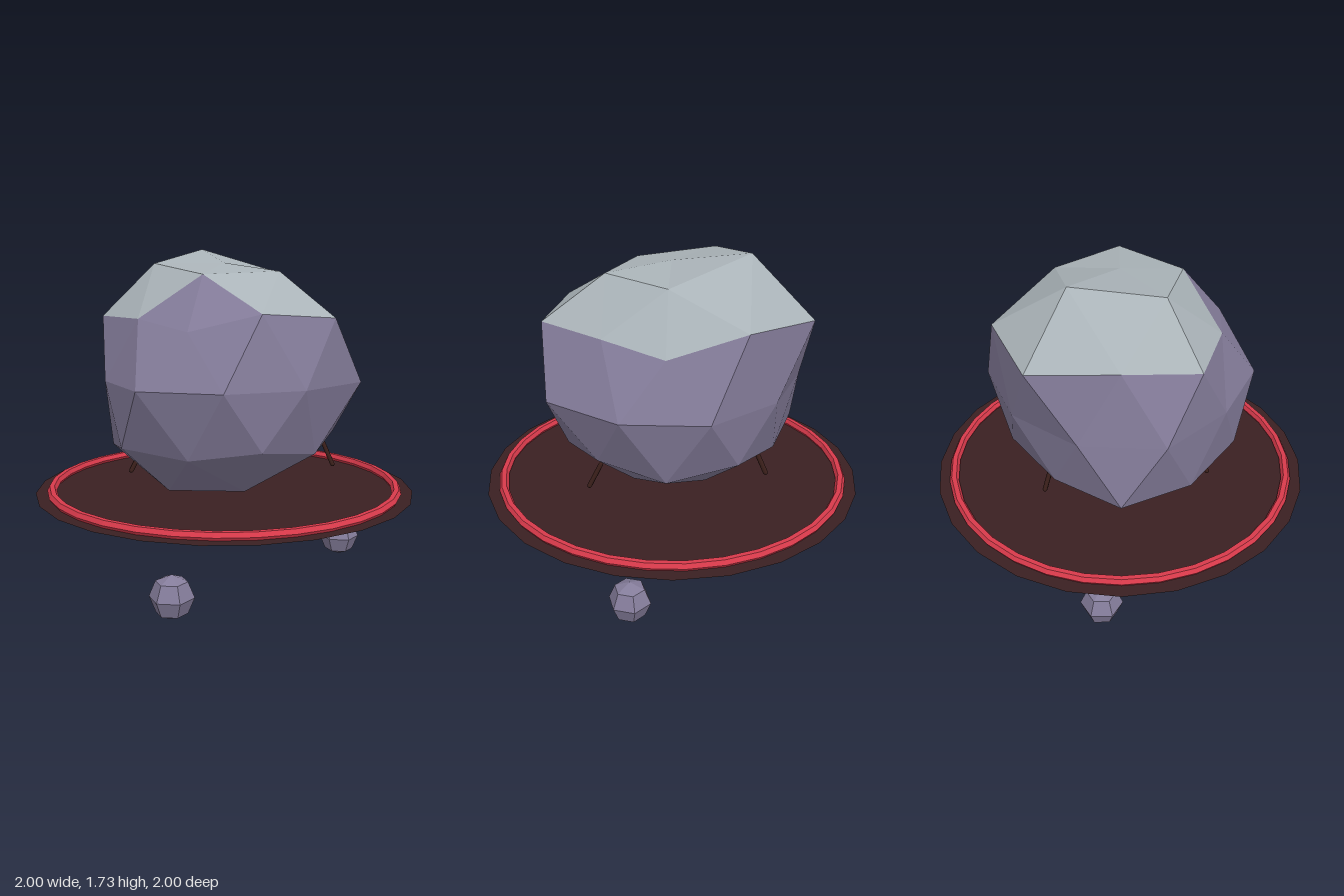
import * as THREE from 'three';

const mat = (name, color, extra = {}) => {
  const m = new THREE.MeshStandardMaterial({ color, ...extra });
  m.name = name;
  return m;
};

// Point on the boulder: unit direction (height h, azimuth in degrees) times radius
const CENTER_Y = 1.08;
const dir = (h, deg, r) => {
  const a = THREE.MathUtils.degToRad(deg), w = Math.sqrt(1 - h * h);
  return new THREE.Vector3(w * Math.cos(a) * r, h * r, w * Math.sin(a) * r);
};

// Flat-shaded mesh from triangles, each turned to face away from the origin
function facetMesh(name, tris, material) {
  const pos = [];
  for (const [a, b, c] of tris) {
    const n = b.clone().sub(a).cross(c.clone().sub(a));
    const order = n.dot(a.clone().add(b).add(c)) > 0 ? [a, b, c] : [a, c, b];
    order.forEach((p) => pos.push(p.x, p.y, p.z));
  }
  const g = new THREE.BufferGeometry();
  g.setAttribute('position', new THREE.Float32BufferAttribute(pos, 3));
  g.computeVertexNormals();
  const mesh = new THREE.Mesh(g, material);
  mesh.name = name;
  return mesh;
}

// Boulder: a once-divided icosahedron whose rings have uneven radii
function makeBoulder(stone, pale) {
  const equator = [0.66, 0.66, 0.70, 0.635, 0.69, 0.66, 0.65, 0.685, 0.69, 0.725]
    .map((r, k) => dir(0, 18 + 36 * k, r));
  const halves = [
    { sign: 1, pole: 0.59, ring: [0.646, 0.63, 0.69, 0.78, 0.64],
      corner: [0.74, 0.61, 0.71, 0.82, 0.627], mid: [0.68, 0.61, 0.70, 0.755, 0.62] },
    { sign: -1, pole: 0.58, ring: [0.64, 0.67, 0.67, 0.60, 0.60],
      corner: [0.66, 0.70, 0.76, 0.66, 0.65], mid: [0.65, 0.70, 0.66, 0.67, 0.66] },
  ];
  const body = [], cap = [];
  halves.forEach(({ sign, pole, ring, corner, mid }, s) => {
    const off = 36 * s;
    const P = new THREE.Vector3(0, sign * pole, 0);
    const R = ring.map((r, i) => dir(sign * 0.851, off + 72 * i, r));
    const V = corner.map((r, i) => dir(sign * 0.447, off + 72 * i, r));
    const M = mid.map((r, i) => dir(sign * 0.526, off + 72 * i + 36, r));
    const E = (k) => equator[(k + 10) % 10];
    for (let i = 0; i < 5; i++) {
      const j = (i + 1) % 5, h = (i + 4) % 5, k = 2 * i + s;
      const crown = s === 0 ? cap : body;
      const shoulder = s === 0 && i !== 1 ? cap : body; // one bare patch at the front
      crown.push([P, R[i], R[j]], [R[i], M[i], R[j]]);
      shoulder.push([R[i], V[i], M[i]], [R[i], M[h], V[i]]);
      body.push([V[i], E(k - 1), E(k)], [V[i], M[i], E(k)],
        [V[j], M[i], E(k + 1)], [M[i], E(k), E(k + 1)]);
    }
  });
  const g = new THREE.Group();
  g.name = 'boulder';
  g.position.y = CENTER_Y;
  g.add(facetMesh('boulderBody', body, stone), facetMesh('boulderCap', cap, pale));
  return g;
}

export function createModel() {
  const stone = mat('purpleStone', 0x857d9b, { flatShading: true });
  const pale = mat('paleStone', 0xaab3b8, { flatShading: true });
  const dark = mat('darkDisc', 0x3a2022, { side: THREE.DoubleSide });
  const red = mat('redRim', 0xd83a4b, { flatShading: true });
  const brown = mat('brownPeg', 0x3a1f1a);

  const model = new THREE.Group();
  model.name = 'floatingBoulder';
  const add = (name, geo, material, x, y, z) => {
    const m = new THREE.Mesh(geo, material);
    m.name = name;
    m.position.set(x, y, z);
    model.add(m);
    return m;
  };

  model.add(makeBoulder(stone, pale));

  // Thin disc with a raised ring
  add('disc', new THREE.CircleGeometry(1, 24).rotateX(-Math.PI / 2), dark, 0, 0.48, 0);
  add('ring', new THREE.TorusGeometry(0.915, 0.025, 6, 32).rotateX(-Math.PI / 2), red, 0, 0.495, 0);

  // Pegs poking out under the boulder
  const up = new THREE.Vector3(0, 1, 0);
  const pegs = [
    [[0.44, 0.74, -0.28], [0.51, 0.61, -0.28]],
    [[-0.23, 0.74, 0.39], [-0.26, 0.61, 0.46]],
    [[-0.35, 0.74, -0.35], [-0.40, 0.61, -0.39]],
  ];
  for (const [a, b] of pegs) {
    const p = new THREE.Vector3(...a), q = new THREE.Vector3(...b);
    const d = q.clone().sub(p);
    const c = p.clone().add(q).multiplyScalar(0.5);
    const peg = add('peg', new THREE.CapsuleGeometry(0.013, d.length() - 0.02, 2, 6), brown, c.x, c.y, c.z);
    peg.quaternion.setFromUnitVectors(up, d.normalize());
  }

  // Small stones hovering below the disc
  const pebble = new THREE.SphereGeometry(0.11, 6, 4).rotateY(Math.PI / 2);
  for (const [x, z] of [[0.20, 0.69], [0.38, -0.60], [-0.71, -0.10]]) {
    add('pebble', pebble, stone, x, 0.12, z);
  }
  // Rest the lowest stones on the ground
  model.position.y = -0.01;
  return model;
}
